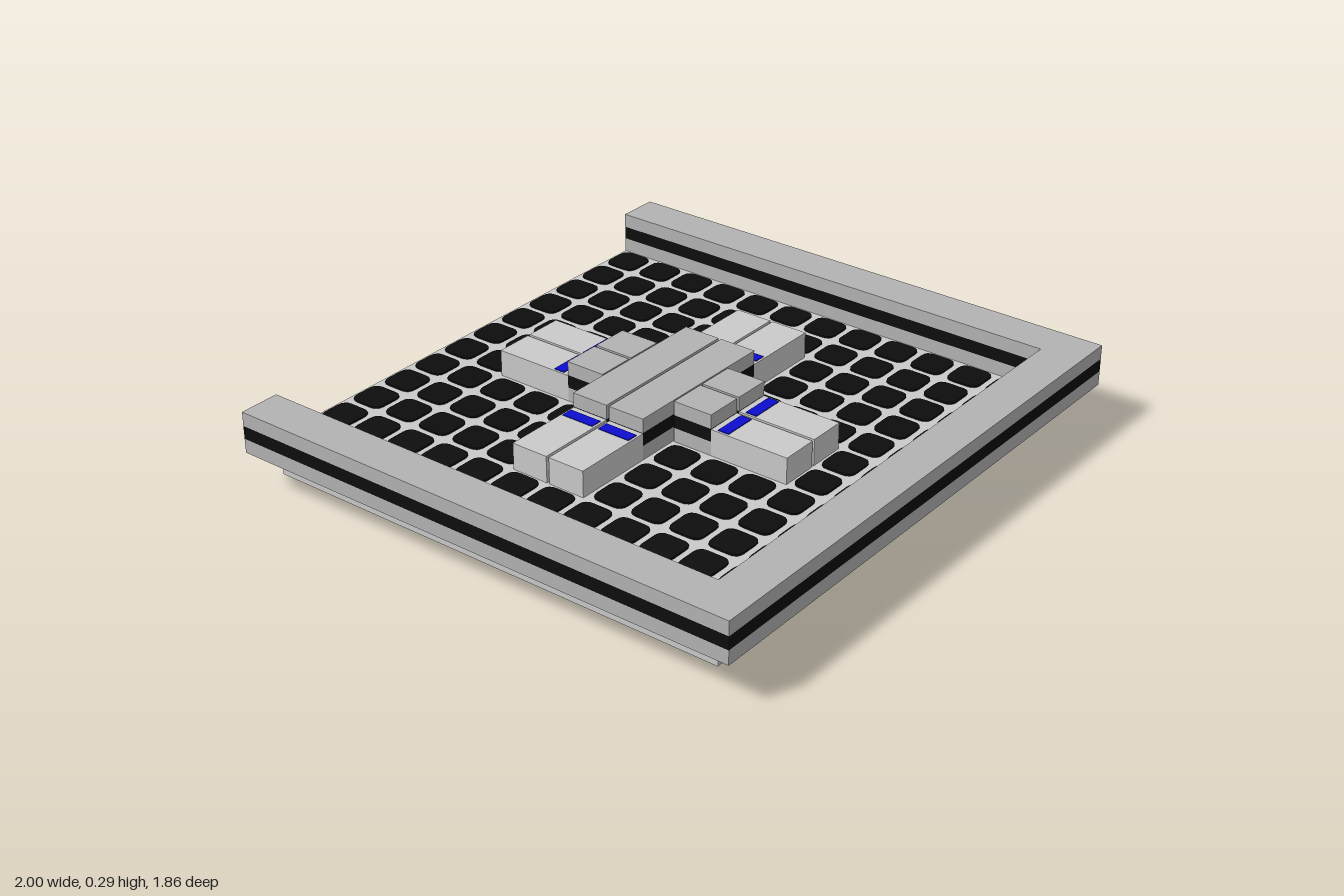
import * as THREE from 'three';

const U = 1 / 7; // grid unit

const paint = (name, color) => {
  const m = new THREE.MeshStandardMaterial({ color });
  m.name = name;
  return m;
};

export function createModel() {
  const lightGrey = paint('lightGrey', 0xcacaca);
  const midGrey = paint('midGrey', 0xb3b3b3);
  const black = paint('black', 0x0d0d0d);
  const blue = paint('blue', 0x0c0cd0);
  const model = new THREE.Group();
  model.name = 'tiledPlatform';

  // Box given by its lower and upper limits on each axis
  const box = (name, mat, [x0, x1], [y0, y1], [z0, z1], parent = model) => {
    const mesh = new THREE.Mesh(new THREE.BoxGeometry(x1 - x0, y1 - y0, z1 - z0), mat);
    mesh.position.set((x0 + x1) / 2, (y0 + y1) / 2, (z0 + z1) / 2);
    mesh.name = name;
    parent.add(mesh);
    return mesh;
  };

  // Grey block with a black band around its middle
  const bandedBlock = (name, xs, zs) => {
    const g = new THREE.Group();
    g.name = name;
    box('lowerCourse', midGrey, xs, [U, 0.192], zs, g);
    box('blackBand', black, xs, [0.192, 0.237], zs, g);
    box('upperCourse', midGrey, xs, [0.237, 2 * U], zs, g);
    model.add(g);
  };

  // Floor planks
  const cuts = [-6.5, -3.5, -1.5, 0.5, 2.5, 4.5, 5.5];
  for (let i = 0; i < cuts.length - 1; i++)
    box('floorPlank', lightGrey, [-6 * U, 6 * U], [0, U], [cuts[i] * U, cuts[i + 1] * U]);

  // Rounded black floor tiles
  const h = 0.059, r = 0.032;
  const s = new THREE.Shape();
  s.moveTo(-h + r, -h);
  s.lineTo(h - r, -h);
  s.quadraticCurveTo(h, -h, h, -h + r);
  s.lineTo(h, h - r);
  s.quadraticCurveTo(h, h, h - r, h);
  s.lineTo(-h + r, h);
  s.quadraticCurveTo(-h, h, -h, h - r);
  s.lineTo(-h, -h + r);
  s.quadraticCurveTo(-h, -h, -h + r, -h);
  const tileGeo = new THREE.ExtrudeGeometry(s, { depth: 0.006, bevelEnabled: false, curveSegments: 4 });
  tileGeo.rotateX(-Math.PI / 2);
  for (let i = 0; i < 12; i++) {
    for (let j = 0; j < 12; j++) {
      const tile = new THREE.Mesh(tileGeo, black);
      tile.name = 'floorTile';
      tile.position.set((i - 5.5) * U, U, (j - 6) * U);
      model.add(tile);
    }
  }

  // Walls on three sides, open at the back
  bandedBlock('frontWall', [-1, 1], [5.5 * U, 6.5 * U]);
  bandedBlock('leftWall', [6 * U, 1], [-6.5 * U, 5.5 * U]);
  bandedBlock('rightWall', [-1, -6 * U], [-6.5 * U, 5.5 * U]);

  // Central cross: paired rows with a narrow gap, high in the middle and low at the ends
  const gap = 0.005, lowTop = 0.235, stripeHalf = 0.02;
  const row = (c) => [(c - 0.5) * U + gap, (c + 0.5) * U - gap];
  const inset = (c) => [c * U - 0.059, c * U + 0.059];
  const stripeY = [lowTop, lowTop + 0.003];
  const around = (v) => [v - stripeHalf, v + stripeHalf];

  for (const c of [-1, 0]) {
    bandedBlock('crossCentre', [-2 * U, 2 * U], row(c));
    for (const side of [-1, 1]) {
      const xs = side > 0 ? [2 * U, 4 * U] : [-4 * U, -2 * U];
      box('sideArm', lightGrey, xs, [U, lowTop], row(c));
      box('sideArmStripe', blue, around(side * 0.327), stripeY, inset(c));
    }
  }
  for (const c of [-0.5, 0.5]) {
    bandedBlock('crossFront', row(c), [0.5 * U, 1.5 * U]);
    bandedBlock('crossBack', row(c), [-2.5 * U, -1.5 * U]);
    box('frontArm', lightGrey, row(c), [U, lowTop], [1.5 * U, 3.5 * U]);
    box('backArm', lightGrey, row(c), [U, lowTop], [-4.5 * U, -2.5 * U]);
    box('frontArmStripe', blue, inset(c), stripeY, around(0.256));
    box('backArmStripe', blue, inset(c), stripeY, around(-0.4));
  }
  return model;
}
